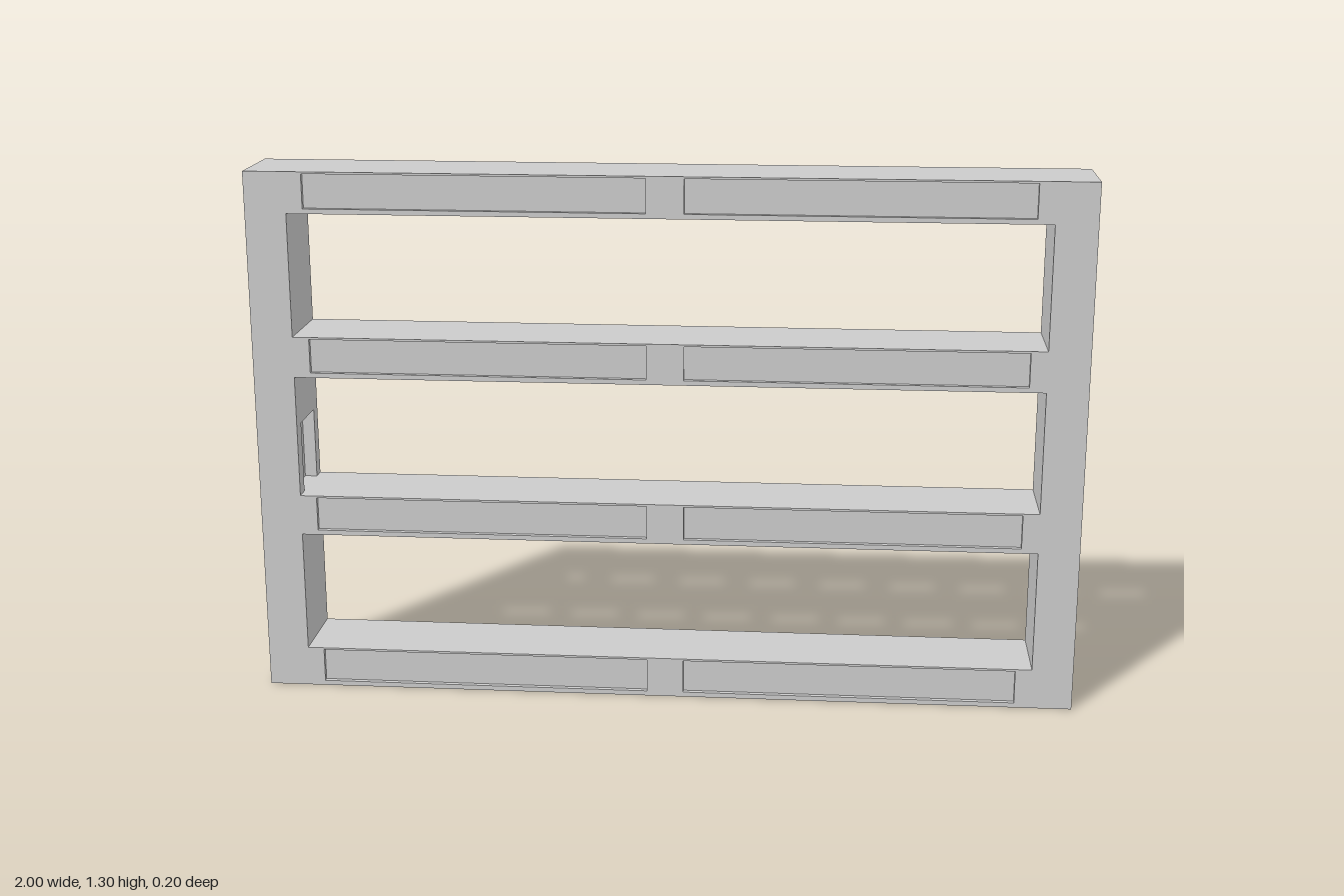
import * as THREE from 'three';

const material = new THREE.MeshStandardMaterial({ color: 0xcccccc, flatShading: true });

const polygon = (points, Type = THREE.Path) => new Type(points.map(([x, y]) => new THREE.Vector2(x, y)));
const rect = (x0, y0, x1, y1, Type) => polygon([[x0, y0], [x1, y0], [x1, y1], [x0, y1]], Type);

const RAILS = [0, 0.4, 0.8, 1.2]; // underside height of each rail
const PLATE = -0.97;              // where the drilled end plate meets the frame

// One slice of the ladder frame between two depths
function frameLayer(name, z0, z1, { pocket = false, recesses = false } = {}) {
  const shape = rect(PLATE, 0, 1, 1.3, THREE.Shape);

  // Three openings between the rails; the middle one may have the pocket notch
  for (let i = 0; i < 3; i++) {
    const y0 = RAILS[i] + 0.1, y1 = RAILS[i + 1];
    if (pocket && i === 1) {
      shape.holes.push(polygon([
        [-0.93, y0], [0.9, y0], [0.9, y1], [-0.9, y1], [-0.9, 0.675], [-0.93, 0.675],
      ]));
    } else {
      shape.holes.push(rect(-0.9, y0, 0.9, y1));
    }
  }

  // Two long shallow recesses in each rail
  if (recesses) {
    for (const y of RAILS) {
      shape.holes.push(rect(-0.86, y + 0.012, -0.045, y + 0.095));
      shape.holes.push(rect(0.045, y + 0.012, 0.86, y + 0.095));
    }
  }

  const geometry = new THREE.ExtrudeGeometry(shape, { depth: z1 - z0, bevelEnabled: false });
  const mesh = new THREE.Mesh(geometry.translate(0, 0, z0), material);
  mesh.name = name;
  return mesh;
}

// Outer plate of the side post, with a small round cable hole
function endPlate() {
  const shape = rect(-0.1, 0, 0.1, 1.3, THREE.Shape);
  shape.holes.push(new THREE.Path().absarc(0, 0.45, 0.012, 0, Math.PI * 2, true));
  const geometry = new THREE.ExtrudeGeometry(shape, { depth: 0.03, bevelEnabled: false, curveSegments: 16 });
  geometry.rotateY(-Math.PI / 2).translate(PLATE, 0, 0);
  const mesh = new THREE.Mesh(geometry, material);
  mesh.name = 'drilledEndPlate';
  return mesh;
}

export function createModel() {
  const group = new THREE.Group();
  group.name = 'ladderFrame';
  group.add(
    frameLayer('frameBack', -0.1, -0.065),
    frameLayer('frameCore', -0.065, 0.06, { pocket: true }),
    frameLayer('frameFront', 0.06, 0.088),
    frameLayer('recessedFace', 0.088, 0.1, { recesses: true }),
    endPlate(),
  );
  return group;
}
